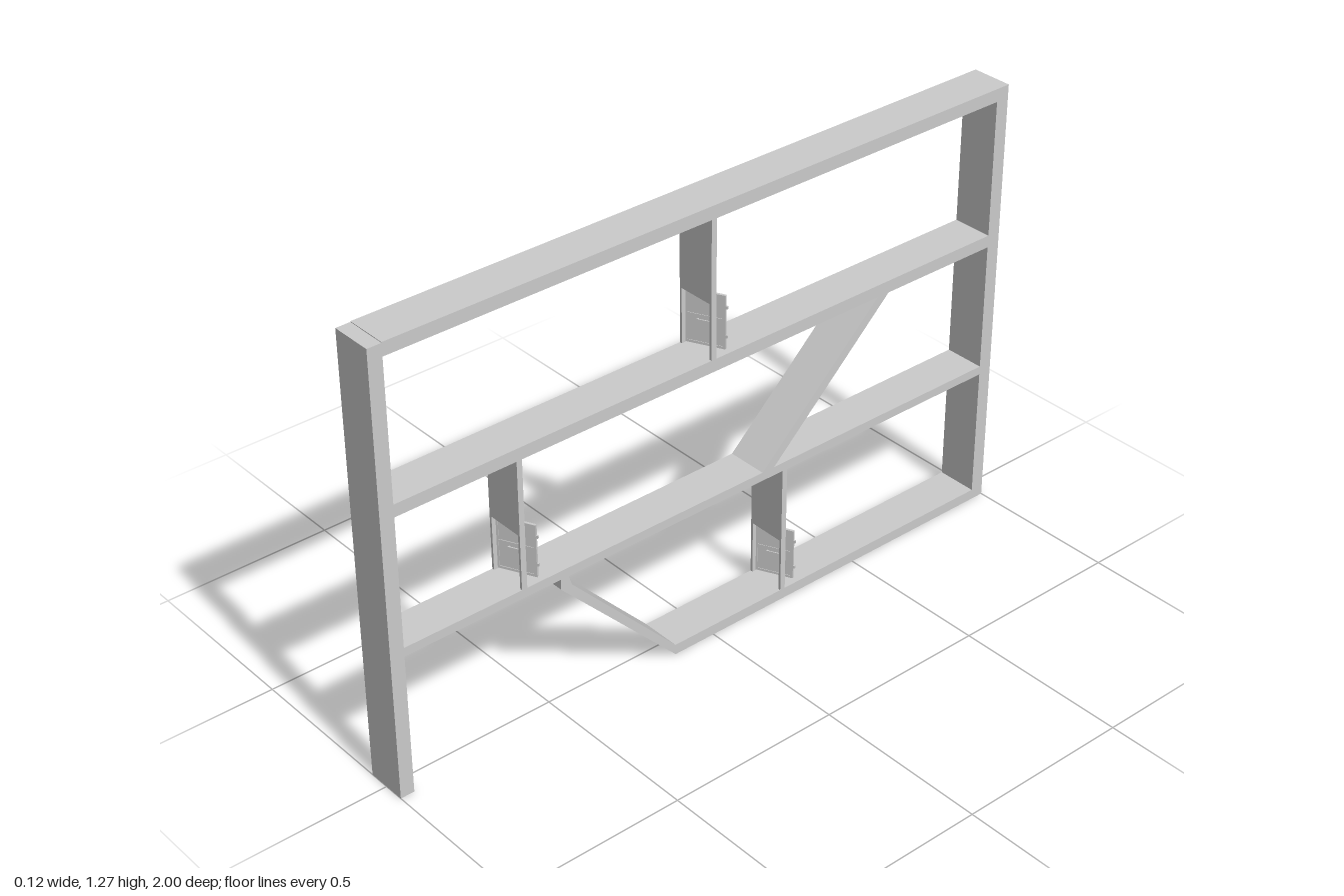
import * as THREE from 'three';

const W = 0.118; // depth of the whole frame along x
const mat = new THREE.MeshStandardMaterial({ color: 0xcccccc, flatShading: true });

function add(parent, name, geometry) {
  const mesh = new THREE.Mesh(geometry, mat);
  mesh.name = name;
  parent.add(mesh);
  return mesh;
}

function box(parent, name, w, h, d, x, y, z) {
  const mesh = add(parent, name, new THREE.BoxGeometry(w, h, d));
  mesh.position.set(x, y, z);
  return mesh;
}

// Full-depth beam given by its limits in z and y
function beam(parent, name, z0, z1, y0, y1) {
  return box(parent, name, W, y1 - y0, z1 - z0, 0, (y0 + y1) / 2, (z0 + z1) / 2);
}

// Full-depth prism from a side outline of [z, y] points
function prism(parent, name, points) {
  const shape = new THREE.Shape(points.map(([z, y]) => new THREE.Vector2(z, y)));
  const geometry = new THREE.ExtrudeGeometry(shape, { depth: W, bevelEnabled: false });
  geometry.rotateY(-Math.PI / 2).translate(W / 2, 0, 0);
  return add(parent, name, geometry);
}

// Door leaf, built from its hinge along +x
function makeDoor() {
  const door = new THREE.Group();
  door.name = 'door';
  const L = 0.108, H = 0.152, rail = 0.007;
  box(door, 'doorPanel', L, H, 0.004, L / 2, H / 2, 0);
  for (const y of [rail / 2, H - rail / 2]) box(door, 'doorRail', L, rail, 0.007, L / 2, y, 0);
  for (const x of [rail / 2, L - rail / 2]) box(door, 'doorStile', rail, H, 0.007, x, H / 2, 0);
  box(door, 'doorMiddleRail', L, 0.006, 0.007, L / 2, 0.082, 0);
  // Push bars on both faces, latch tongues on the free edge
  for (const s of [-1, 1]) {
    box(door, 'pushBar', 0.042, 0.005, 0.003, L / 2, 0.07, s * 0.006);
    for (const x of [0.036, 0.072]) box(door, 'pushBarMount', 0.004, 0.005, 0.005, x, 0.07, s * 0.004);
  }
  for (const y of [0.036, 0.118]) {
    box(door, 'latch', 0.006, 0.008, 0.005, L + 0.002, y, 0);
    const hinge = add(door, 'hinge', new THREE.CylinderGeometry(0.003, 0.003, 0.016, 8));
    hinge.position.set(0, y, -0.002);
  }
  return door;
}

// Cross wall with a doorway at its foot and a half-open door behind it
function makePartition(z, y0, y1) {
  const group = new THREE.Group();
  group.name = 'partition';
  const h = y1 - y0, t = 0.016, half = W / 2, jamb = 0.007, open = 0.157;
  const wall = new THREE.Shape([
    [-half, 0], [-half + jamb, 0], [-half + jamb, open], [half - jamb, open],
    [half - jamb, 0], [half, 0], [half, h], [-half, h],
  ].map(([x, y]) => new THREE.Vector2(x, y)).reverse());
  const geometry = new THREE.ExtrudeGeometry(wall, { depth: t, bevelEnabled: false });
  add(group, 'partitionWall', geometry.translate(0, 0, -t / 2));
  const door = makeDoor();
  door.position.set(-half + 0.004, 0.002, -t / 2 + 0.002);
  door.rotation.y = 0.46;
  group.add(door);
  group.position.set(0, y0, z);
  return group;
}

export function createModel() {
  const model = new THREE.Group();
  model.name = 'sectionFrame';

  // Outer walls and floors
  beam(model, 'frontWall', 0.96, 1, 0, 1.265);
  beam(model, 'backWall', -1, -0.96, 0, 1.267);
  beam(model, 'roof', -0.96, 0.96, 1.23, 1.267);
  beam(model, 'upperFloor', -0.96, 0.96, 0.805, 0.84);
  beam(model, 'middleFloor', -0.96, 0.96, 0.41, 0.435);
  beam(model, 'bottomFloor', -0.96, 0.13, 0, 0.03);

  // Sloping ramps
  prism(model, 'lowerRamp', [[0.13, 0], [0.13, 0.03], [0.46, 0.38], [0.47, 0.41], [0.494, 0.41], [0.494, 0.38]].reverse());
  prism(model, 'upperRamp', [[-0.165, 0.435], [-0.205, 0.435], [-0.595, 0.805], [-0.555, 0.805]].reverse());

  // Partitions with doors
  for (const [z, y0, y1] of [[0.002, 0.84, 1.23], [0.604, 0.435, 0.805], [-0.243, 0.03, 0.41]]) {
    model.add(makePartition(z, y0, y1));
  }
  return model;
}
